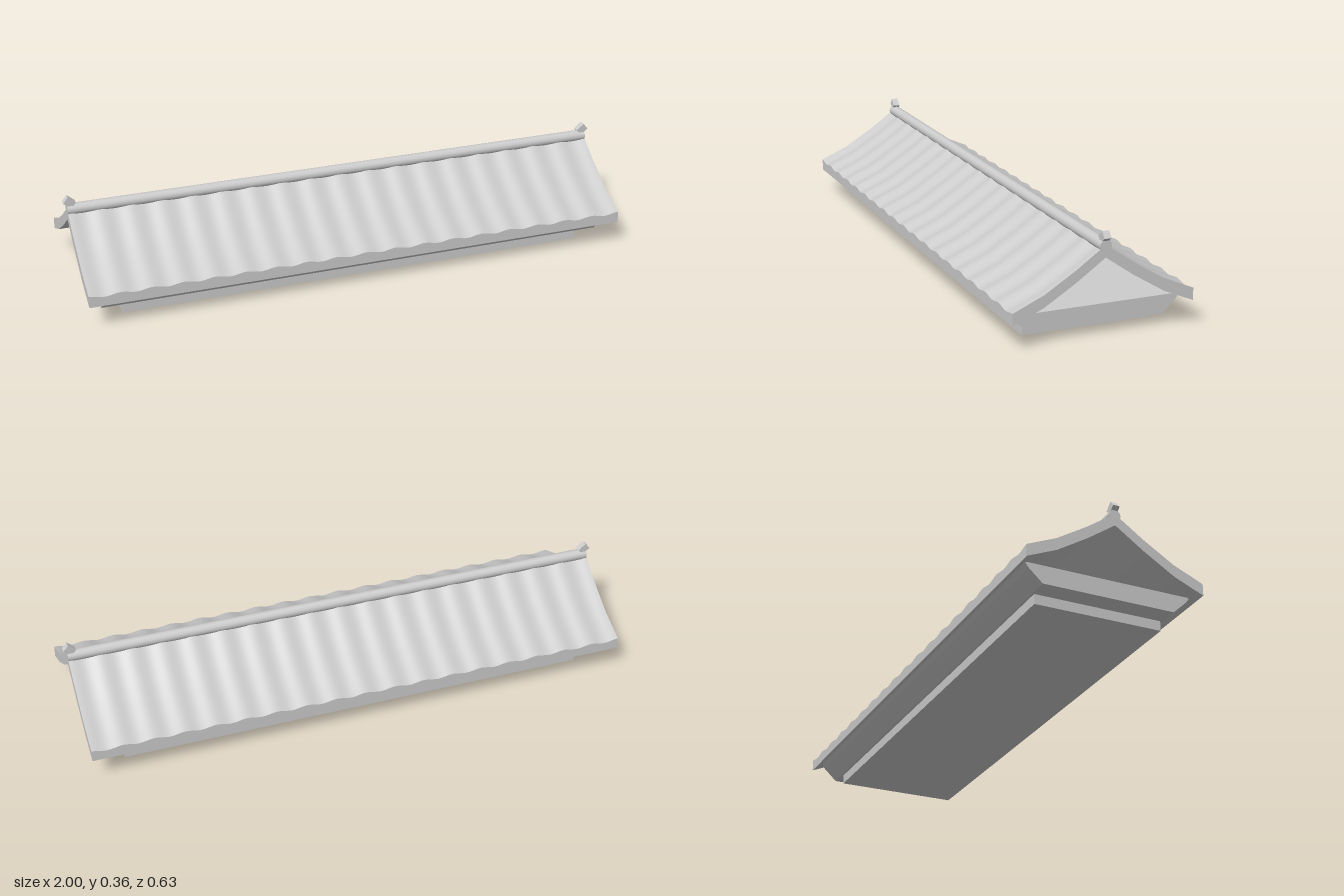
import * as THREE from 'three';

export function createModel() {
  const group = new THREE.Group();
  const stone = new THREE.MeshStandardMaterial({ color: 0xcccccc });
  stone.name = 'pale grey';

  const add = (name, geometry, x = 0, y = 0, z = 0) => {
    const mesh = new THREE.Mesh(geometry, stone);
    mesh.name = name;
    mesh.position.set(x, y, z);
    group.add(mesh);
    return mesh;
  };

  // Roof slope: curved profile from ridge to eave as [z, top y], rippled along x on top only
  const profile = [[0, 0.313], [0.1, 0.243], [0.21, 0.175], [0.316, 0.129]];
  const length = 1.972, ripples = 18, thickness = 0.042;
  const slope = new THREE.BoxGeometry(length, 1, 3, ripples * 10, 1, 3);
  const pos = slope.attributes.position;
  for (let i = 0; i < pos.count; i++) {
    const [z, top] = profile[Math.round(pos.getZ(i) + 1.5)];
    const phase = (pos.getX(i) / length + 0.5) * ripples * Math.PI * 2;
    const dip = 0.004 * (1 - Math.cos(phase));
    pos.setXYZ(i, pos.getX(i), pos.getY(i) > 0 ? top - dip : top - thickness, z);
  }
  slope.computeVertexNormals();
  add('frontRoofSlope', slope);
  add('backRoofSlope', slope).rotation.y = Math.PI;

  // Round ridge tile with a narrow cap rail
  const ridge = new THREE.CylinderGeometry(0.021, 0.021, length, 12);
  ridge.rotateZ(Math.PI / 2);
  add('ridgeTile', ridge, 0, 0.308, 0);

  // Tilted ornament blocks at the ridge ends
  for (const side of [-1, 1]) {
    const block = add(side < 0 ? 'rightRidgeEnd' : 'leftRidgeEnd',
      new THREE.BoxGeometry(0.035, 0.027, 0.024), side * 0.977, 0.336, 0);
    block.rotation.z = side * 0.7;
  }

  // Flared eave body, extruded along x
  const half = [[0.235, 0.035], [0.283, 0.08], [0.297, 0.099]];
  const outline = [...half, ...half.map(([z, y]) => [-z, y]).reverse()];
  const shape = new THREE.Shape(outline.map(([z, y]) => new THREE.Vector2(z, y)));
  const eave = new THREE.ExtrudeGeometry(shape, { depth: 1.864, bevelEnabled: false });
  eave.translate(0, 0, -0.932);
  eave.rotateY(Math.PI / 2);
  add('eaveBody', eave);

  // Base plinth
  add('basePlinth', new THREE.BoxGeometry(1.716, 0.035, 0.456), 0, 0.0175, 0);

  return group;
}
